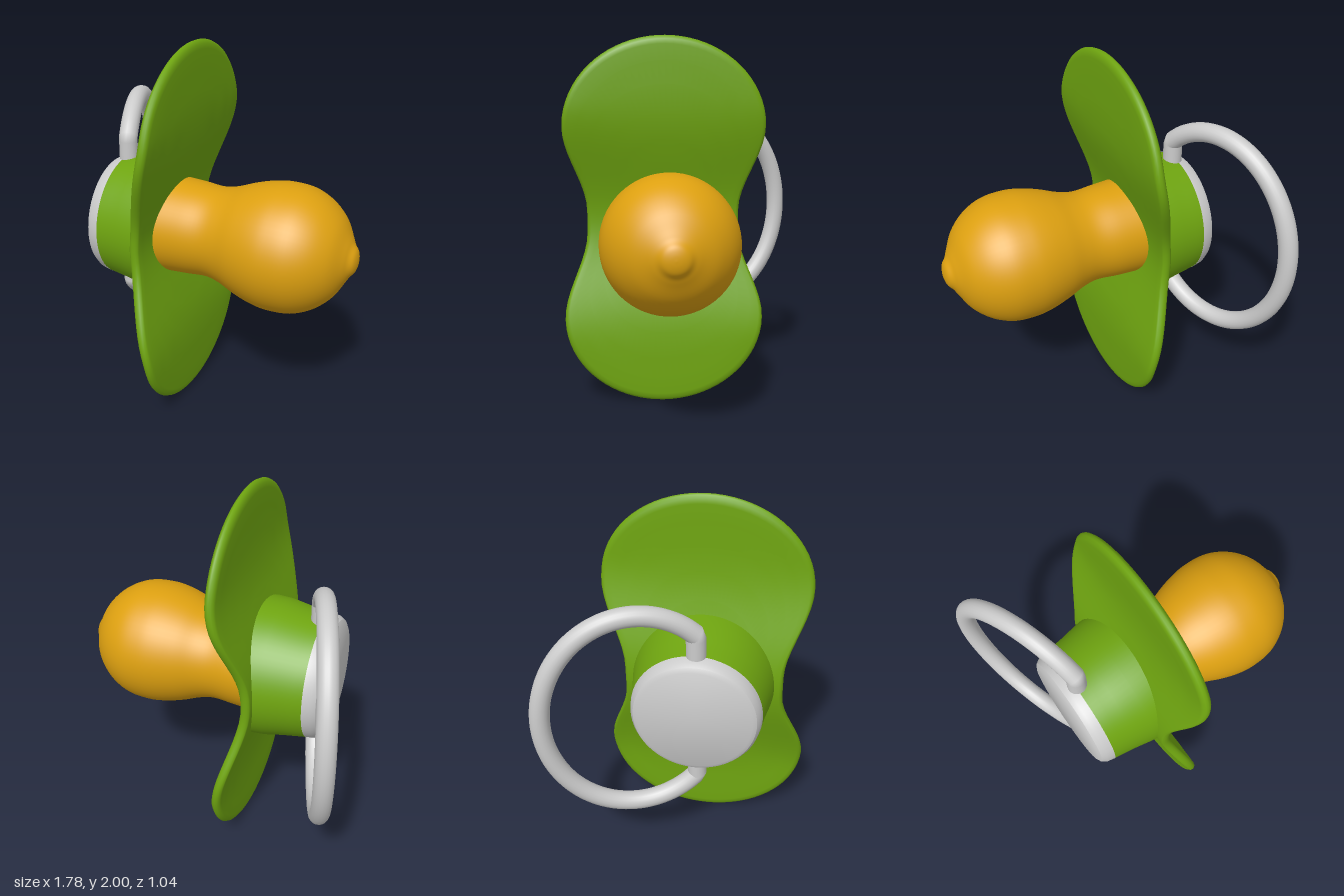
import * as THREE from 'three';
import { mergeVertices, toCreasedNormals } from 'three/addons/utils/BufferGeometryUtils.js';

const V2 = (p) => new THREE.Vector2(p[0], p[1]);
const smooth = THREE.MathUtils.smoothstep;

// Profile of [radius, distance along x] turned around the x axis
function turned(profile, segments) {
  return new THREE.LatheGeometry(profile.map(V2), segments).rotateZ(-Math.PI / 2);
}

// Weld the seam and recompute smooth normals
function smoothed(geometry) {
  geometry.deleteAttribute('uv');
  geometry.deleteAttribute('normal');
  const g = mergeVertices(geometry, 1e-4);
  g.computeVertexNormals();
  return g;
}

// Sideways bend of the shield along its height
const bend = (y) => -0.115 + 0.13 * smooth(Math.abs(y), 0, 0.65);

// Half width of the shield at a height: waist below, elliptical lobe above
function halfWidth(y) {
  const h = Math.abs(y);
  if (h < 0.52) return 0.42 + 0.125 * smooth(h, 0.06, 0.52);
  return 0.545 * Math.sqrt(Math.max(0, 1 - ((h - 0.52) / 0.48) ** 2));
}

function shieldGeometry() {
  const t = 0.026;
  const face = [0, 0.15, 0.3, 0.45, 0.6, 0.75, 0.87, 0.955];
  const profile = [
    ...face.map((s) => [s, -t]),
    [0.98, -t * 0.85], [0.995, -t * 0.45], [1, 0], [0.995, t * 0.45], [0.98, t * 0.85],
    ...face.slice().reverse().map((s) => [s, t]),
  ];
  const g = turned(profile, 112);
  const p = g.attributes.position;
  for (let i = 0; i < p.count; i++) {
    const y = p.getY(i), z = p.getZ(i), s = Math.hypot(y, z);
    const w = s > 1e-6 ? Math.sign(z) * s * halfWidth(Math.min(1, Math.abs(y / s))) : 0;
    p.setXYZ(i, p.getX(i) + bend(y), y, w);
  }
  return smoothed(g);
}

// Flared collar whose wide rim follows the bent shield
function collarGeometry() {
  const g = turned([[0, -0.385], [0.335, -0.385], [0.343, -0.33], [0.353, -0.26], [0.372, -0.16], [0.378, 0]], 72);
  const p = g.attributes.position;
  for (let i = 0; i < p.count; i++) {
    if (p.getX(i) > -0.01) p.setX(i, bend(p.getY(i)) - 0.005);
  }
  return toCreasedNormals(g, 0.6);
}

function teatGeometry() {
  const curve = new THREE.SplineCurve([
    [0.262, -0.1], [0.254, 0.04], [0.245, 0.16], [0.262, 0.25], [0.3, 0.35], [0.328, 0.45],
    [0.338, 0.54], [0.328, 0.65], [0.283, 0.75], [0.21, 0.83], [0.125, 0.88], [0.088, 0.9],
    [0.06, 0.922], [0.03, 0.932], [0, 0.935],
  ].map(V2));
  const g = turned(curve.getPoints(70).map((v) => [Math.max(0, v.x), v.y]), 64);
  const p = g.attributes.position;
  // The bulb sits slightly towards the front
  for (let i = 0; i < p.count; i++) p.setZ(i, p.getZ(i) + 0.012 * smooth(p.getX(i), 0, 0.5));
  return smoothed(g);
}

// Elliptical pull ring with straight ends that plug into the collar
function ringGeometry() {
  const dir = new THREE.Vector3(-0.327, 0, -0.945);
  const at = (d, y) => new THREE.Vector3(-0.37, y, 0).addScaledVector(dir, d);
  const start = Math.acos(-0.306 / 0.47);
  const path = new THREE.CurvePath();
  const arc = [];
  for (let i = 0; i <= 32; i++) {
    const a = start - (2 * start * i) / 32;
    arc.push(at(0.306 + 0.47 * Math.cos(a), 0.015 + 0.57 * Math.sin(a)));
  }
  path.add(new THREE.LineCurve3(at(0, 0.28), arc[0]));
  path.add(new THREE.CatmullRomCurve3(arc));
  path.add(new THREE.LineCurve3(arc[32], at(0, -0.28)));
  return new THREE.TubeGeometry(path, 140, 0.05, 20);
}

export function createModel() {
  const model = new THREE.Group();
  const body = new THREE.Group();
  body.name = 'pacifier';
  const green = new THREE.MeshStandardMaterial({ color: 0x6fa510 });
  const amber = new THREE.MeshStandardMaterial({ color: 0xdda010 });
  const grey = new THREE.MeshStandardMaterial({ color: 0xcccccc });
  const add = (name, geometry, material) => {
    const mesh = new THREE.Mesh(geometry, material);
    mesh.name = name;
    body.add(mesh);
  };

  add('shield', shieldGeometry(), green);
  add('collar', collarGeometry(), green);
  add('teat', teatGeometry(), amber);
  // Bevelled end cap
  const cap = turned([[0, -0.462], [0.29, -0.462], [0.312, -0.45], [0.328, -0.425], [0.336, -0.384], [0, -0.384]], 72);
  add('endCap', toCreasedNormals(cap, 0.5), grey);
  add('pullRing', ringGeometry(), grey);

  // Turned a little about the vertical, standing on one lobe
  body.rotation.y = 0.349;
  body.position.y = 1;
  model.add(body);
  return model;
}
